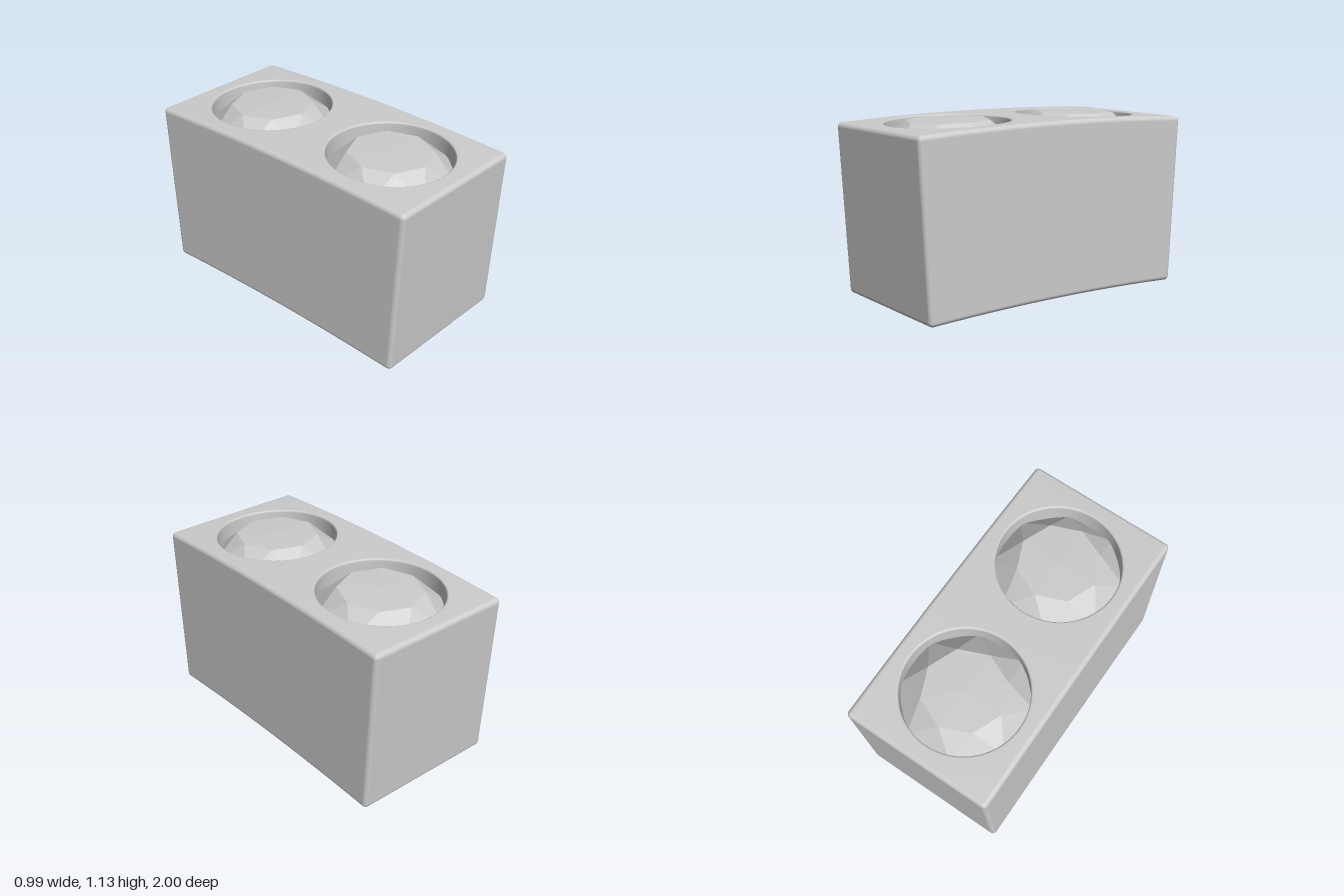
import * as THREE from 'three';

const W = 0.495, L = 1, H = 1.1, R = 0.03;      // half width, half length, height, edge radius
const INNER = 17.3, MID = INNER + H;            // arc radii of the underside and the top
const HOLE = 0.388, HOLE_Z = 0.497;
const material = new THREE.MeshStandardMaterial({ color: 0xcccccc });
const gemMaterial = new THREE.MeshStandardMaterial({ color: 0xcccccc, flatShading: true });

// Wraps straight block coordinates around the arc
function bend(x, y, z) {
  const a = z / MID, rho = INNER + y;
  return [x, rho * Math.cos(a) - INNER + 0.0255, rho * Math.sin(a)];
}

function named(name, geometry, mat = material) {
  const mesh = new THREE.Mesh(geometry, mat);
  mesh.name = name;
  return mesh;
}

// Rounded, curved outer shell, left open where the top panels sit
function shell() {
  const C = 4, segs = [10, 12, 32], half = [W, H / 2, L];
  const geo = new THREE.BoxGeometry(1, 1, 1, ...segs);
  const p = geo.attributes.position, n = geo.attributes.normal;
  const flatTop = [];
  for (let v = 0; v < p.count; v++) {
    const base = [], off = new THREE.Vector3();
    segs.forEach((N, axis) => {
      const i = Math.round((p.getComponent(v, axis) + 0.5) * N);
      const inner = half[axis] - R;
      const edge = Math.min(i, N - i);
      const t = Math.min(1, Math.max(0, (i - C) / (N - 2 * C)));
      base.push(-inner + 2 * inner * t);
      const o = edge < C ? Math.tan((Math.PI / 4) * (1 - edge / C)) : 0;
      off.setComponent(axis, i < N / 2 ? -o : o);
    });
    off.normalize();
    flatTop.push(off.y > 0.9999);
    const z = base[2] + off.z * R;
    p.setXYZ(v, ...bend(base[0] + off.x * R, base[1] + off.y * R + H / 2, z));
    off.applyAxisAngle(new THREE.Vector3(1, 0, 0), z / MID);
    n.setXYZ(v, off.x, off.y, off.z);
  }
  const kept = [], idx = geo.index.array;
  for (let i = 0; i < idx.length; i += 3) {
    const tri = [idx[i], idx[i + 1], idx[i + 2]];
    if (!tri.every(v => flatTop[v])) kept.push(...tri);
  }
  geo.setIndex(kept);
  geo.clearGroups();
  return geo;
}

// Half of the top face, running from its rectangle into a round socket
function socketPanel(side) {
  const N = 96, F = 0.012, rings = [];
  const hx = W - R, hz = (L - R) / 2;
  for (const t of [0, 0.35, 0.7, 0.95, 1]) rings.push({ t, r: HOLE + F, y: H });
  for (let i = 1; i <= 4; i++) {
    const a = (i / 4) * Math.PI / 2;
    rings.push({ t: 1, r: HOLE + F - F * Math.sin(a), y: H - F + F * Math.cos(a) });
  }
  rings.push({ t: 1, r: HOLE, y: H - 0.03 }, { t: 1, r: HOLE, y: H - 0.2 });
  const pos = [], idx = [];
  rings.forEach(({ t, r, y }, i) => {
    for (let j = 0; j < N; j++) {
      const a = (j / N) * Math.PI * 2, c = Math.cos(a), s = Math.sin(a);
      const m = Math.max(Math.abs(c), Math.abs(s));
      const x = THREE.MathUtils.lerp(hx * c / m, r * c, t);
      const z = THREE.MathUtils.lerp(side * hz + hz * s / m, side * HOLE_Z + r * s, t);
      pos.push(...bend(x, y, z));
      if (i === rings.length - 1) continue;
      const k = (j + 1) % N, o = i * N;
      idx.push(o + j, o + N + j, o + k, o + N + j, o + N + k, o + k);
    }
  });
  const geo = new THREE.BufferGeometry();
  geo.setAttribute('position', new THREE.Float32BufferAttribute(pos, 3));
  geo.setIndex(idx);
  geo.computeVertexNormals();
  return geo;
}

// Faceted gem: shallow eight-sided table with a crown of triangles
function gem(side) {
  const N = 8, pos = [];
  const at = (r, y, k) => {
    const a = Math.PI / 2 + (k / N) * Math.PI * 2;
    return bend(r * Math.cos(a), H + y, side * HOLE_Z + r * Math.sin(a));
  };
  const table = k => at(0.262, 0.006, k);
  const girdle = k => at(HOLE + 0.03, -0.13, k);
  for (let k = 0; k < N; k++) {
    pos.push(...at(0, 0.013, 0), ...table(k + 1), ...table(k));
    pos.push(...table(k), ...girdle(k + 0.5), ...girdle(k - 0.5));
    pos.push(...table(k), ...table(k + 1), ...girdle(k + 0.5));
  }
  const geo = new THREE.BufferGeometry();
  geo.setAttribute('position', new THREE.Float32BufferAttribute(pos, 3));
  geo.computeVertexNormals();
  return geo;
}

export function createModel() {
  const group = new THREE.Group();
  group.name = 'gemBlock';
  group.add(named('blockShell', shell()));
  for (const [side, label] of [[1, 'front'], [-1, 'back']]) {
    group.add(named(label + 'Socket', socketPanel(side)));
    group.add(named(label + 'Gem', gem(side), gemMaterial));
  }
  return group;
}
